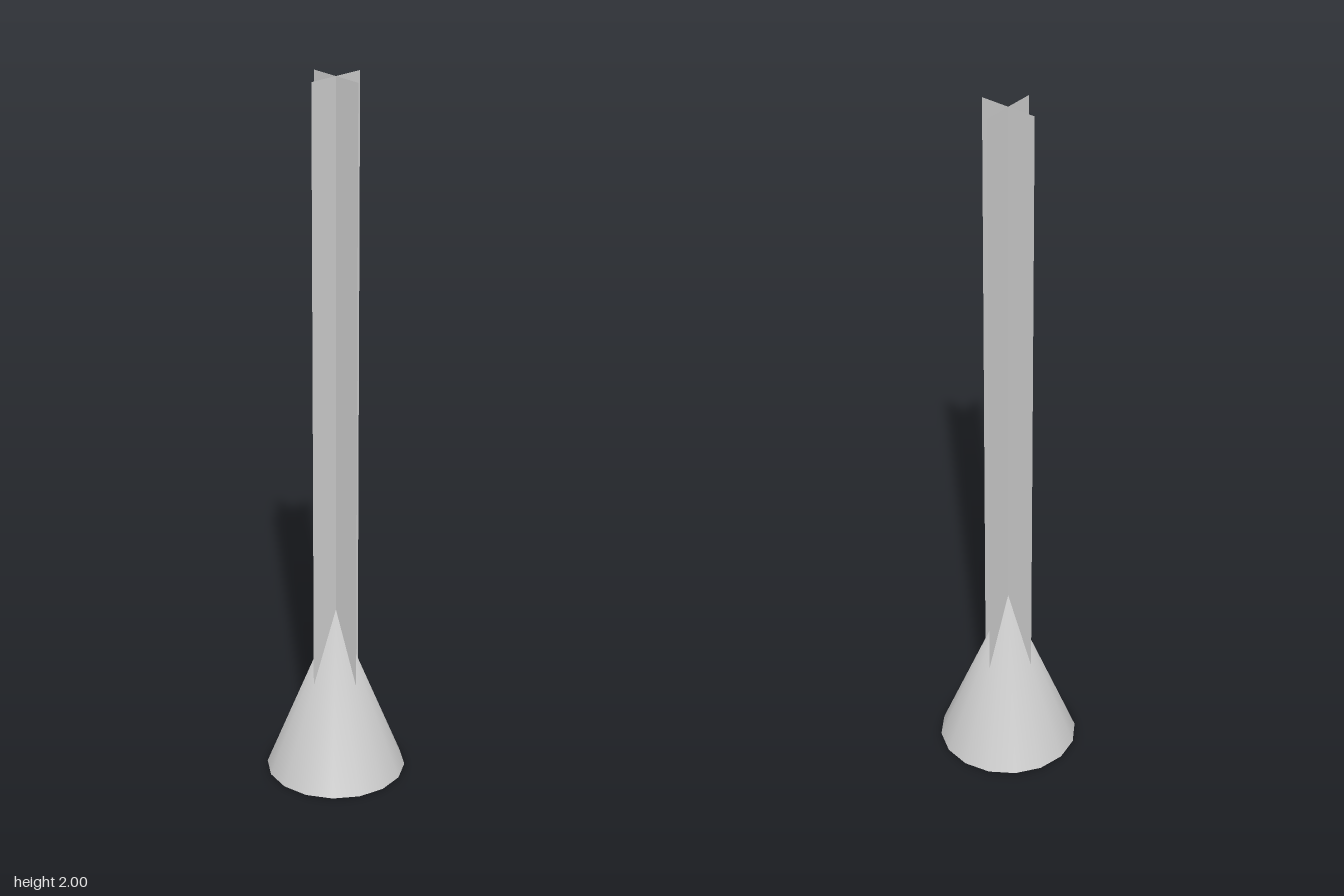
import * as THREE from 'three';
import { mergeVertices } from 'three/addons/utils/BufferGeometryUtils.js';

const CONE_RADIUS = 0.194, CONE_HEIGHT = 0.488;
const BLADE_WIDTH = 0.166, HEIGHT = 2;

export function createModel() {
  const group = new THREE.Group();
  const material = new THREE.MeshStandardMaterial({ color: 0xcccccc, side: THREE.DoubleSide });

  // Open cone; shared vertices give one rounded normal at the tip
  let cone = new THREE.ConeGeometry(CONE_RADIUS, CONE_HEIGHT, 16, 1, true);
  cone.deleteAttribute('uv');
  cone.deleteAttribute('normal');
  cone = mergeVertices(cone);
  cone.computeVertexNormals();
  const base = new THREE.Mesh(cone, material);
  base.name = 'coneBase';
  base.position.y = CONE_HEIGHT / 2;
  group.add(base);

  // Two thin crossed blades running from the ground to the top
  const bladeGeometry = new THREE.PlaneGeometry(BLADE_WIDTH, HEIGHT);
  ['bladeAcross', 'bladeFrontToBack'].forEach((name, i) => {
    const blade = new THREE.Mesh(bladeGeometry, material);
    blade.name = name;
    blade.position.y = HEIGHT / 2;
    blade.rotation.y = i * Math.PI / 2;
    group.add(blade);
  });

  return group;
}
